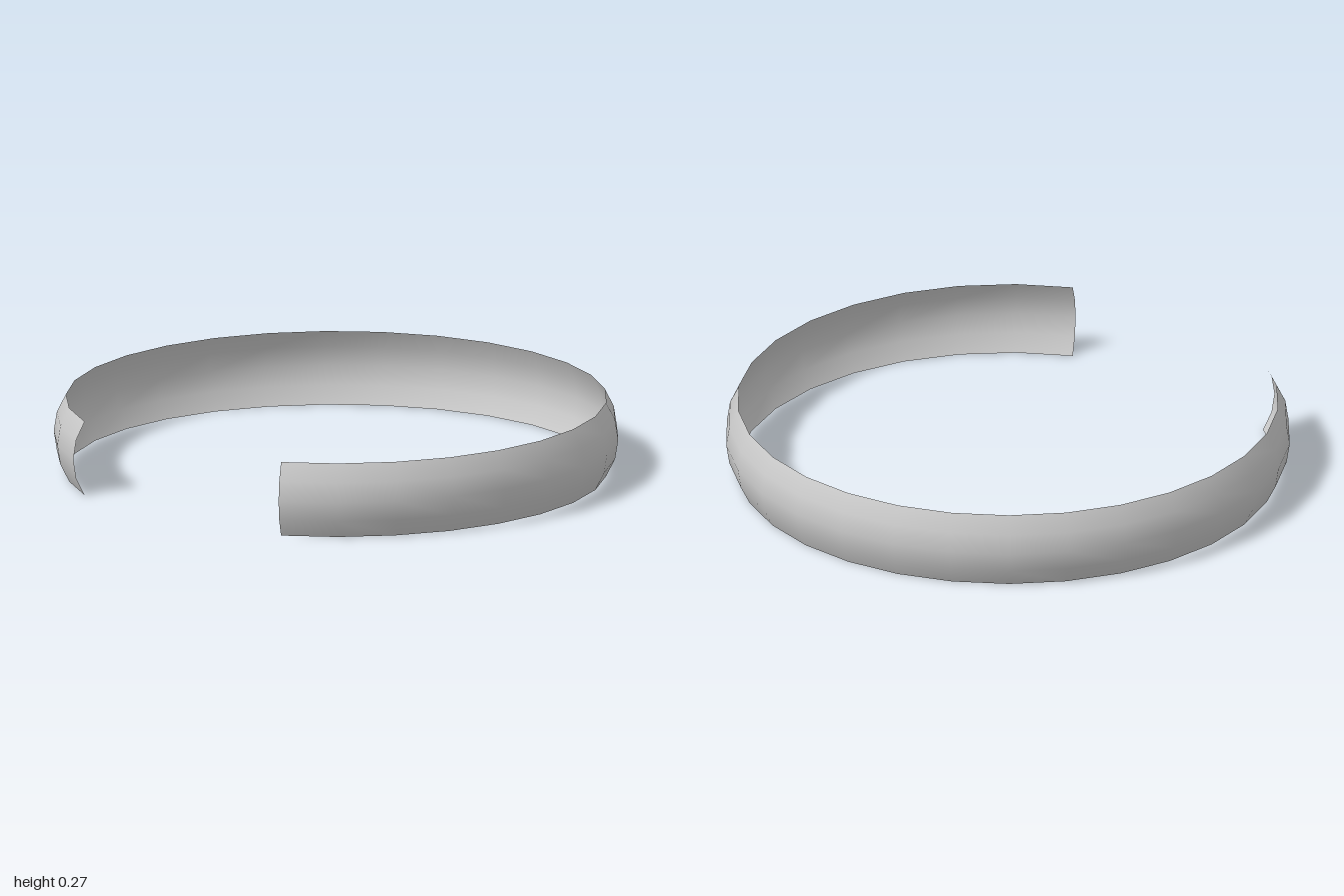
import * as THREE from 'three';

export function createModel() {
  const group = new THREE.Group();

  // Bulging cross-section: a shallow arc, widest at mid height
  const halfHeight = 0.134, bulge = 0.043;
  const arcRadius = (halfHeight ** 2 + bulge ** 2) / (2 * bulge);
  const halfAngle = Math.asin(halfHeight / arcRadius);
  const profile = [];
  for (let i = 0; i <= 4; i++) {
    const a = halfAngle * (i / 2 - 1);
    profile.push(new THREE.Vector2(
      1 - arcRadius * (1 - Math.cos(a)),
      halfHeight + arcRadius * Math.sin(a)
    ));
  }

  // Open band swept around y, with its gap facing -x
  const sweep = THREE.MathUtils.degToRad(303.4);
  const geometry = new THREE.LatheGeometry(profile, 25, Math.PI / 2 - sweep / 2, sweep);
  const material = new THREE.MeshStandardMaterial({ color: 0xcccccc, side: THREE.DoubleSide });
  const band = new THREE.Mesh(geometry, material);
  band.name = 'openBand';
  band.position.x = -0.06;
  group.add(band);

  return group;
}
